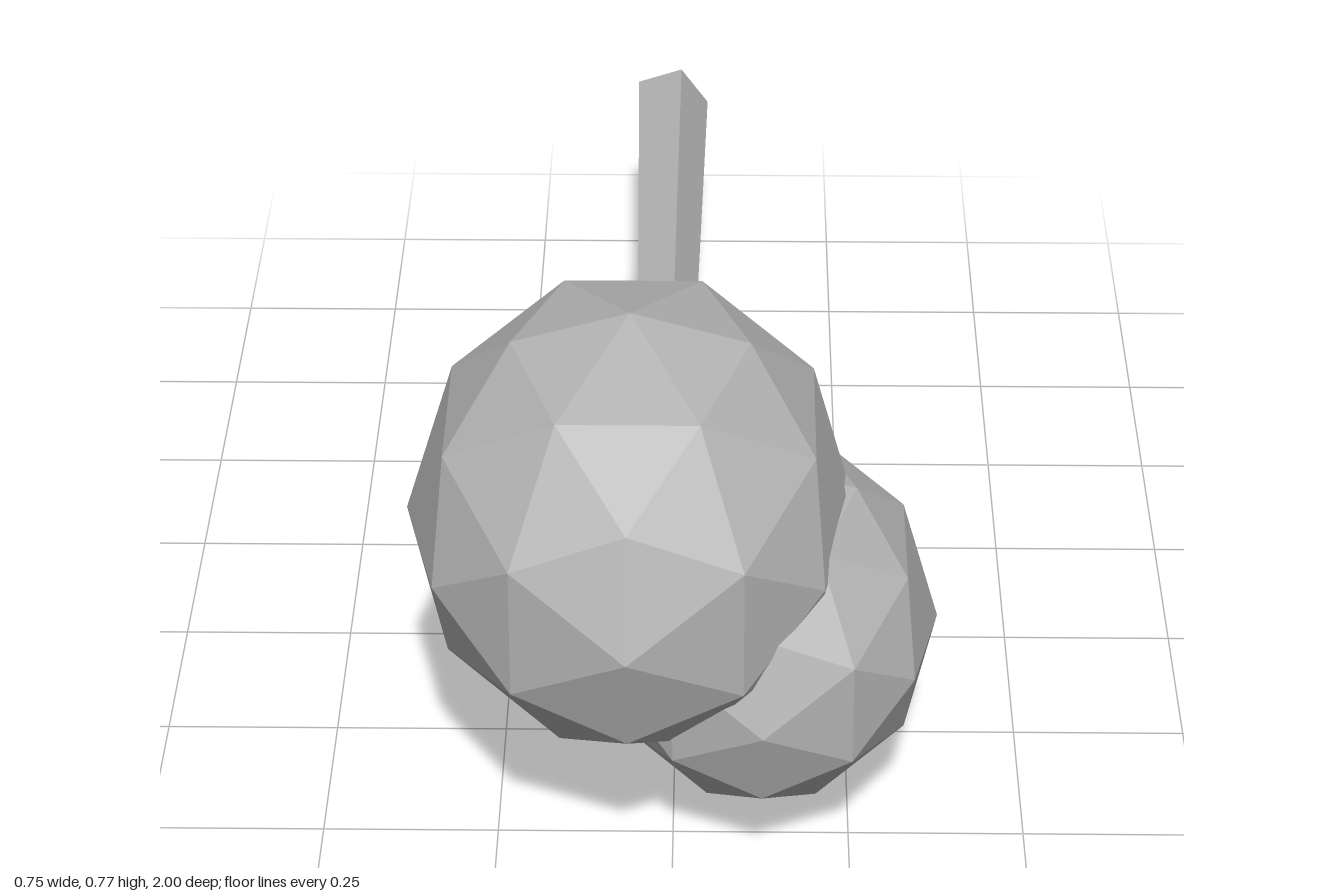
import * as THREE from 'three';

export function createModel() {
  const group = new THREE.Group();
  const grey = new THREE.MeshStandardMaterial({ color: 0xb3b3b3, flatShading: true });
  grey.name = 'plain grey';

  // Faceted foliage ball, stretched along the trunk
  function foliage(name, x, y, z, r) {
    const mesh = new THREE.Mesh(new THREE.IcosahedronGeometry(r, 1), grey);
    mesh.scale.z = 1.25;
    mesh.position.set(x, y, z);
    mesh.name = name;
    group.add(mesh);
  }

  // Five-sided tapered limb from a to b, with one edge turned towards `edge`
  function limb(name, a, b, ra, rb, edge) {
    const start = new THREE.Vector3(...a), end = new THREE.Vector3(...b);
    const length = start.distanceTo(end);
    const yAxis = end.clone().sub(start).normalize();
    const zAxis = new THREE.Vector3(...edge);
    zAxis.addScaledVector(yAxis, -zAxis.dot(yAxis)).normalize();
    const xAxis = new THREE.Vector3().crossVectors(yAxis, zAxis);
    const mesh = new THREE.Mesh(new THREE.CylinderGeometry(rb, ra, length, 5), grey);
    mesh.quaternion.setFromRotationMatrix(new THREE.Matrix4().makeBasis(xAxis, yAxis, zAxis));
    mesh.position.copy(start).lerp(end, 0.5);
    mesh.name = name;
    group.add(mesh);
  }

  foliage('largeFoliage', -0.06, 0.455, 0.605, 0.316);
  foliage('smallFoliage', 0.125, 0.285, 0.615, 0.249);

  // Trunk lies along z, widest at its base
  limb('trunk', [-0.028, 0.278, -1], [-0.026, 0.28, 0.36], 0.066, 0.04, [1, 0, 0]);
  // Side branch reaching down from the trunk
  limb('branch', [-0.035, 0.262, 0.26], [-0.092, 0.02, 0.54], 0.03, 0.026, [-0.1, -1, 0]);

  return group;
}
